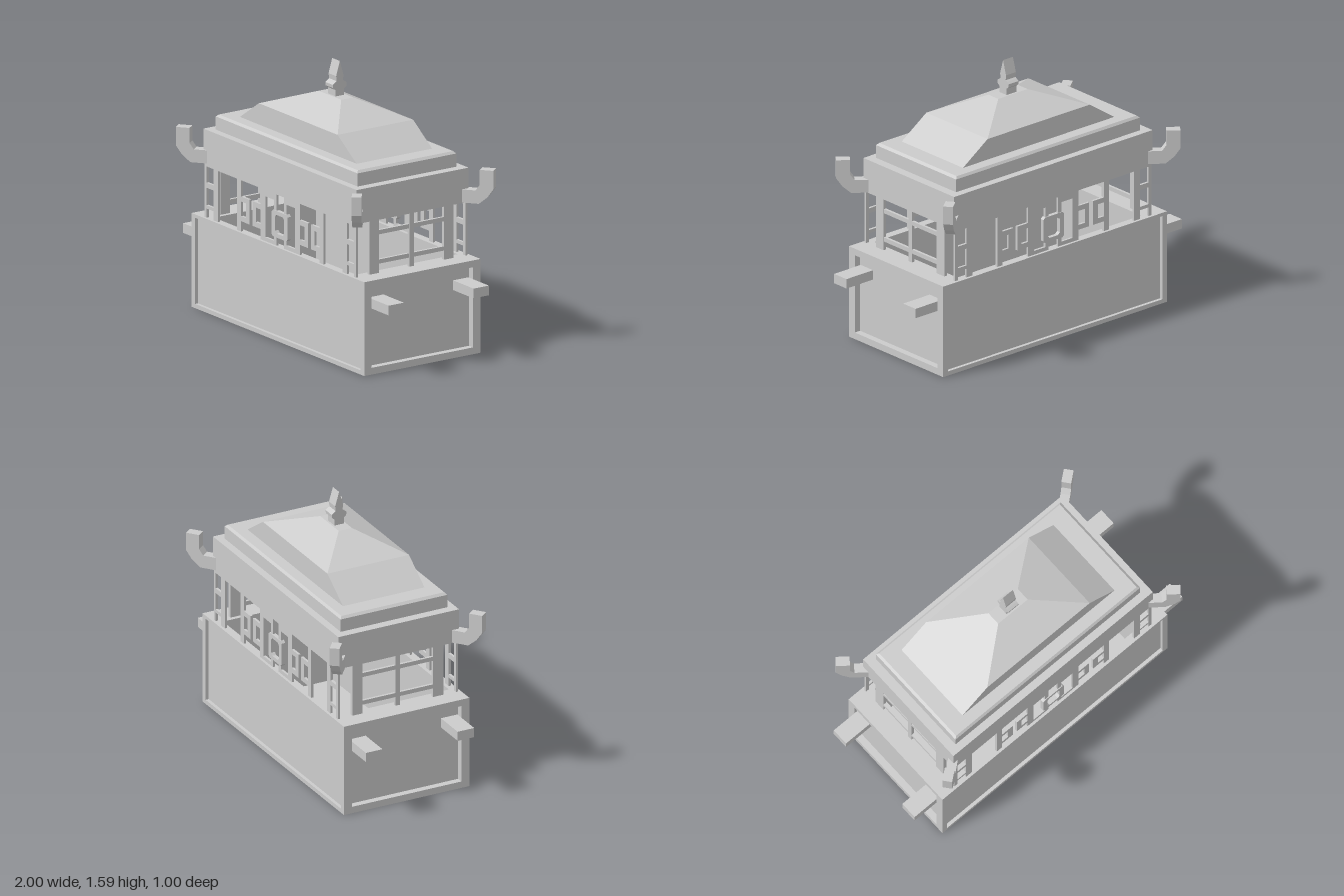
import * as THREE from 'three';

const material = new THREE.MeshStandardMaterial({ color: 0xcccccc, flatShading: true });

function add(parent, name, geometry) {
  const mesh = new THREE.Mesh(geometry, material);
  mesh.name = name;
  parent.add(mesh);
  return mesh;
}

// Box given by its minimum and maximum on each axis
function block(parent, name, x0, x1, y0, y1, z0, z1) {
  const geometry = new THREE.BoxGeometry(x1 - x0, y1 - y0, z1 - z0);
  geometry.translate((x0 + x1) / 2, (y0 + y1) / 2, (z0 + z1) / 2);
  return add(parent, name, geometry);
}

const points = (list) => list.map(([x, y]) => new THREE.Vector2(x, y));
const rect = (x0, x1, y0, y1) => [[x0, y0], [x1, y0], [x1, y1], [x0, y1]];

// Flat plate from an outline with an optional hole, running from z = 0 to depth
function plate(outline, depth, hole) {
  const shape = new THREE.Shape(points(outline));
  if (hole) shape.holes.push(new THREE.Path(points(hole)));
  return new THREE.ExtrudeGeometry(shape, { depth, bevelEnabled: false });
}

// Closed solid from stacked rectangles [halfX, y, halfZ]
function stack(levels) {
  const pos = [];
  const ring = ([x, y, z]) => [[-x, y, z], [x, y, z], [x, y, -z], [-x, y, -z]];
  const quad = (a, b, c, d) => pos.push(...a, ...b, ...c, ...a, ...c, ...d);
  const rings = levels.map(ring);
  for (let i = 0; i < rings.length - 1; i++) {
    for (let j = 0; j < 4; j++) {
      const k = (j + 1) % 4;
      quad(rings[i][j], rings[i][k], rings[i + 1][k], rings[i + 1][j]);
    }
  }
  quad(...rings[rings.length - 1]);
  quad(...[...rings[0]].reverse());
  const geometry = new THREE.BufferGeometry();
  geometry.setAttribute('position', new THREE.Float32BufferAttribute(pos, 3));
  geometry.computeVertexNormals();
  return geometry;
}

// Open-topped body with a raised frame on each side
function createBody() {
  const body = new THREE.Group();
  body.name = 'body';
  const walls = plate(rect(-0.8, 0.8, -0.38, 0.38), 0.55, rect(-0.69, 0.69, -0.35, 0.35));
  add(body, 'walls', walls.rotateX(-Math.PI / 2));
  block(body, 'floor', -0.7, 0.7, 0, 0.03, -0.36, 0.36);
  for (const turn of [0, Math.PI]) {
    const long = plate(rect(-0.84, 0.84, 0, 0.55), 0.02, rect(-0.805, 0.805, 0.025, 0.53));
    add(body, 'longFrame', long.translate(0, 0, 0.38).rotateY(turn));
    const end = plate(rect(-0.38, 0.38, 0, 0.55), 0.04, rect(-0.35, 0.35, 0.04, 0.51));
    add(body, 'endFrame', end.translate(0, 0, 0.8).rotateY(turn + Math.PI / 2));
  }
  return body;
}

// Window lattice of a long side
function createLongLattice() {
  const lattice = new THREE.Group();
  lattice.name = 'longLattice';
  const bars = [
    // corner ladder
    [0.715, 0.737, 0.55, 0.87], [0.607, 0.65, 0.55, 0.87],
    [0.65, 0.715, 0.725, 0.755], [0.65, 0.715, 0.603, 0.623],
    // tall posts
    [0.38, 0.42, 0.55, 0.87], [0.145, 0.19, 0.55, 0.87],
    // brackets facing each other
    [0.3, 0.38, 0.725, 0.755], [0.3, 0.38, 0.61, 0.64], [0.3, 0.335, 0.64, 0.725],
    [0.19, 0.27, 0.725, 0.755], [0.19, 0.27, 0.61, 0.64], [0.237, 0.27, 0.64, 0.725],
    // centre frame
    [0.035, 0.145, 0.813, 0.87], [0.035, 0.145, 0.55, 0.573],
    [0.035, 0.06, 0.745, 0.813], [0.035, 0.06, 0.573, 0.61],
  ];
  for (const side of [1, -1]) {
    for (const [x0, x1, y0, y1] of bars) {
      const [a, b] = side > 0 ? [x0, x1] : [-x1, -x0];
      block(lattice, 'latticeBar', a, b, y0, y1, 0.37, 0.384);
    }
  }
  block(lattice, 'topRail', -0.737, 0.737, 0.85, 0.87, 0.37, 0.384);
  // centre ornament with a chamfered opening
  const octagon = (w, y0, y1, c) => [
    [-w + c, y0], [w - c, y0], [w, y0 + c], [w, y1 - c],
    [w - c, y1], [-w + c, y1], [-w, y1 - c], [-w, y0 + c],
  ];
  const ornament = plate(octagon(0.077, 0.6, 0.755, 0.012), 0.024, octagon(0.045, 0.623, 0.732, 0.014));
  add(lattice, 'centreOrnament', ornament.translate(0, 0, 0.365));
  return lattice;
}

// Window lattice of a short side
function createEndLattice() {
  const lattice = new THREE.Group();
  lattice.name = 'endLattice';
  for (const [z0, z1] of [[-0.29, -0.225], [-0.015, 0.015], [0.225, 0.29]]) {
    block(lattice, 'endPost', 0.715, 0.735, 0.55, 0.87, z0, z1);
  }
  for (const y of [0.603, 0.775]) {
    block(lattice, 'endRail', 0.717, 0.733, y, y + 0.025, -0.23, 0.23);
  }
  return lattice;
}

function createRoof() {
  const roof = new THREE.Group();
  roof.name = 'roof';
  block(roof, 'skirt', -0.745, 0.745, 0.865, 1.065, -0.385, 0.385);
  add(roof, 'upperTier', stack([[0.69, 1.06, 0.34], [0.69, 1.142, 0.34], [0.675, 1.155, 0.328]]));
  add(roof, 'hippedTop', stack([[0.575, 1.15, 0.26], [0.383, 1.28, 0.26], [0.11, 1.382, 0.042]]));

  // spear-shaped finial
  const half = [[0.03, 1.37], [0.03, 1.42], [0.045, 1.432], [0.047, 1.452],
    [0.033, 1.463], [0.022, 1.47], [0.025, 1.5]];
  const outline = [...half, [0, 1.585], ...half.map(([z, y]) => [-z, y]).reverse()];
  add(roof, 'finial', plate(outline, 0.074).translate(0, 0, -0.037).rotateY(Math.PI / 2));

  // upturned corner horns, pointing diagonally outward
  const horn = [[0, 0.868], [0.115, 0.868], [0.165, 0.91], [0.2, 0.96], [0.2, 1.068],
    [0.12, 1.068], [0.12, 0.98], [0.095, 0.945], [0, 0.945]];
  for (const sx of [1, -1]) {
    for (const sz of [1, -1]) {
      const geometry = plate(horn, 0.056).translate(0, 0, -0.028);
      geometry.rotateY(Math.atan2(-sz * 0.62, sx * 0.78));
      add(roof, 'cornerHorn', geometry.translate(sx * 0.715, 0, sz * 0.352));
    }
  }
  return roof;
}

export function createModel() {
  const model = new THREE.Group();
  model.name = 'sedanChair';
  model.add(createBody(), createRoof());
  for (const turn of [0, Math.PI]) {
    const long = createLongLattice();
    const end = createEndLattice();
    long.rotation.y = end.rotation.y = turn;
    model.add(long, end);
  }
  // carrying handles
  for (const x of [-1, 0.79]) {
    for (const z of [-0.345, 0.24]) {
      block(model, 'handle', x, x + 0.21, 0.385, 0.442, z, z + 0.105);
    }
  }
  return model;
}
